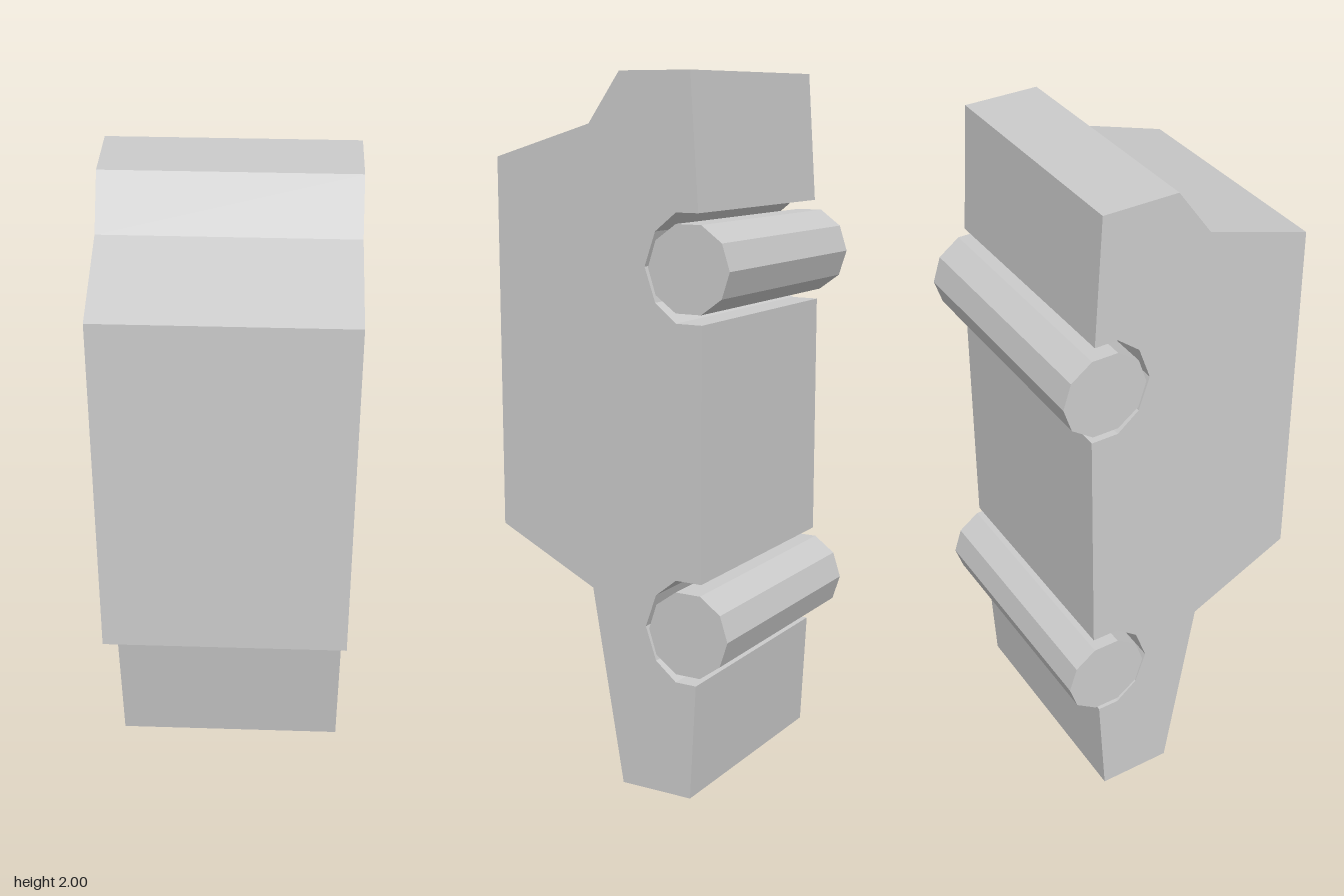
import * as THREE from 'three';

const HALF_WIDTH = 0.35;
const ROLLER = { z: -0.249, radius: 0.124, length: 0.724, heights: [1.487, 0.482] };

export function createModel() {
  const model = new THREE.Group();
  const material = new THREE.MeshStandardMaterial({ color: 0xcccccc, flatShading: true });

  // Faceted recess around a roller, from its top lip to its bottom lip, as [z, y]
  const recess = (y) => [[0.045, 0.147], [0.109, 0.095], [0.142, 0], [0.109, -0.095], [0.045, -0.147]]
    .map(([dz, dy]) => [ROLLER.z + dz, y + dy]);

  // Side profile of the body as [z, y], going down the back and up the front
  const [upper, lower] = ROLLER.heights;
  const profile = [
    [-0.03, 2], [-0.247, 2], [-0.272, upper + 0.147],
    ...recess(upper),
    [-0.284, upper - 0.147], [-0.284, lower + 0.147],
    ...recess(lower),
    [-0.268, lower - 0.147], [-0.25, 0], [-0.03, 0],
    [0.068, 0.567], [0.373, 0.716], [0.373, 1.77], [0.068, 1.862],
  ];
  const shape = new THREE.Shape(profile.map(([z, y]) => new THREE.Vector2(-z, y)));
  const bodyGeometry = new THREE.ExtrudeGeometry(shape, { depth: HALF_WIDTH * 2, bevelEnabled: false });
  bodyGeometry.translate(0, 0, -HALF_WIDTH).rotateY(Math.PI / 2);
  const body = new THREE.Mesh(bodyGeometry, material);
  body.name = 'body';
  model.add(body);

  // Ten-sided rollers set across the back
  const rollerGeometry = new THREE.CylinderGeometry(ROLLER.radius, ROLLER.radius, ROLLER.length, 10);
  rollerGeometry.rotateZ(Math.PI / 2);
  ROLLER.heights.forEach((y, i) => {
    const roller = new THREE.Mesh(rollerGeometry, material);
    roller.name = i === 0 ? 'upperRoller' : 'lowerRoller';
    roller.position.set(0, y, ROLLER.z);
    model.add(roller);
  });

  return model;
}
